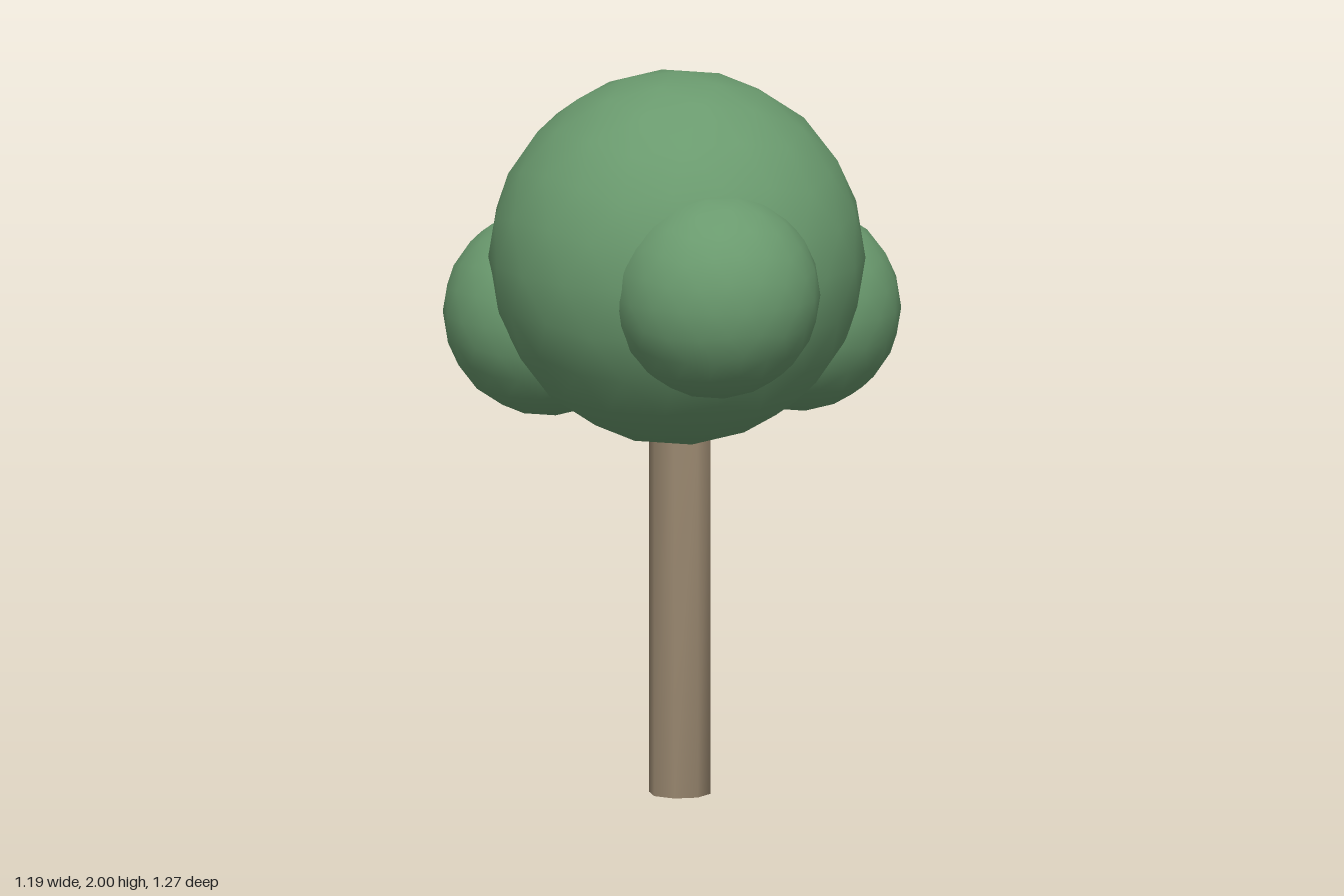
import * as THREE from 'three';
import { mergeVertices } from 'three/addons/utils/BufferGeometryUtils.js';

// Smooth icosphere with a vertex at the pole: each pass halves every edge on the unit sphere
function icosphere(passes) {
  const base = new THREE.IcosahedronGeometry(1, 0);
  base.rotateZ(-Math.atan(2 / (1 + Math.sqrt(5))));
  const p = base.getAttribute('position');
  let pts = [];
  for (let i = 0; i < p.count; i++) pts.push(new THREE.Vector3().fromBufferAttribute(p, i));
  const mid = (a, b) => a.clone().add(b).normalize();
  for (let k = 0; k < passes; k++) {
    const next = [];
    for (let i = 0; i < pts.length; i += 3) {
      const [a, b, c] = pts.slice(i, i + 3);
      const ab = mid(a, b), bc = mid(b, c), ca = mid(c, a);
      next.push(a, ab, ca, ab, b, bc, ca, bc, c, ab, bc, ca);
    }
    pts = next;
  }
  const geo = new THREE.BufferGeometry().setFromPoints(pts);
  geo.setAttribute('normal', geo.getAttribute('position').clone());
  return geo;
}

export function createModel() {
  const model = new THREE.Group();
  model.name = 'tree';
  const leaf = new THREE.MeshStandardMaterial({ color: 0x6a9a6e });
  const bark = new THREE.MeshStandardMaterial({ color: 0x9a8870 });

  // Eight-sided trunk, shaded smoothly round its rims
  let trunkGeo = new THREE.CylinderGeometry(0.085, 0.085, 1.1, 8);
  trunkGeo.deleteAttribute('normal');
  trunkGeo.deleteAttribute('uv');
  trunkGeo = mergeVertices(trunkGeo);
  trunkGeo.computeVertexNormals();
  const trunk = new THREE.Mesh(trunkGeo, bark);
  trunk.name = 'trunk';
  trunk.position.set(-0.08, 0.55, -0.015);
  model.add(trunk);

  // Crown and the three smaller leaf clumps: name, radius, centre
  const ball = icosphere(2);
  const clumps = [
    ['crown', 0.514, -0.085, 1.486, -0.022],
    ['leftClump', 0.285, 0.31, 1.305, -0.018],
    ['frontClump', 0.285, -0.215, 1.455, 0.35],
    ['backClump', 0.285, -0.285, 1.305, -0.352],
  ];
  for (const [name, r, x, y, z] of clumps) {
    const mesh = new THREE.Mesh(ball, leaf);
    mesh.name = name;
    mesh.scale.setScalar(r);
    mesh.position.set(x, y, z);
    model.add(mesh);
  }
  return model;
}
